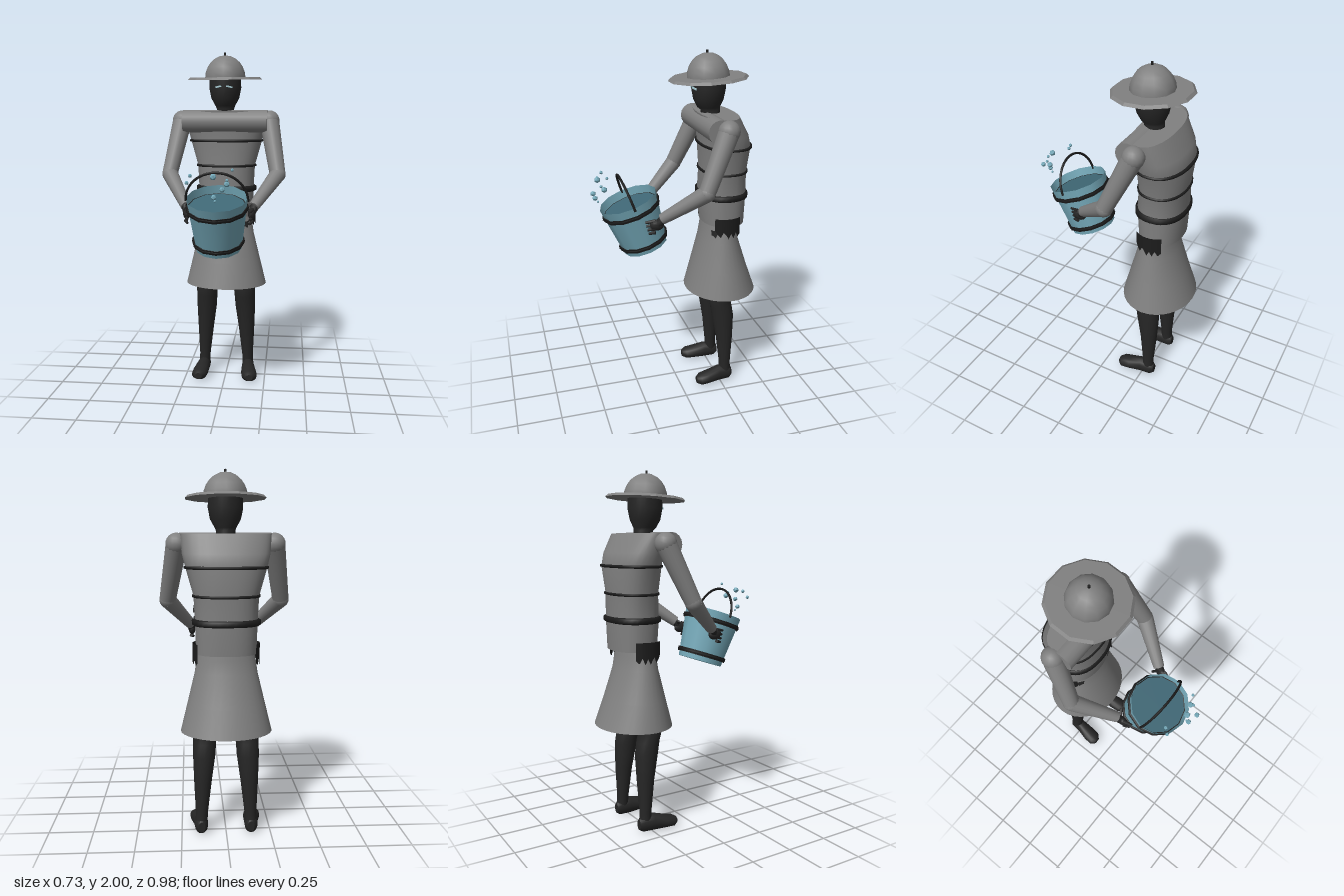
import * as THREE from 'three';

const mat = (name, color, side = THREE.FrontSide) => {
  const m = new THREE.MeshStandardMaterial({ color, side });
  m.name = name;
  return m;
};

// Stacked elliptical sections [y, centreX, centreZ, radiusX, radiusZ], bottom to top
function loft(sections, { sides = 24, power = 2, caps = true } = {}) {
  const pos = [], idx = [];
  const round = v => Math.sign(v) * Math.abs(v) ** (2 / power);
  const ring = ([y, cx, cz, rx, rz]) => {
    const start = pos.length / 3;
    for (let i = 0; i < sides; i++) {
      const a = i / sides * Math.PI * 2;
      pos.push(cx + rx * round(Math.cos(a)), y, cz + rz * round(Math.sin(a)));
    }
    return start;
  };
  const starts = sections.map(ring);
  for (let k = 0; k < starts.length - 1; k++) {
    for (let i = 0; i < sides; i++) {
      const j = (i + 1) % sides;
      const a = starts[k] + i, b = starts[k] + j, c = starts[k + 1] + i, d = starts[k + 1] + j;
      idx.push(a, c, b, b, c, d);
    }
  }
  if (caps) for (const top of [false, true]) {
    const s = top ? sections[sections.length - 1] : sections[0];
    const r = ring(s), mid = pos.length / 3;
    pos.push(s[1], s[0], s[2]);
    for (let i = 0; i < sides; i++) {
      const j = (i + 1) % sides;
      idx.push(mid, r + (top ? j : i), r + (top ? i : j));
    }
  }
  const g = new THREE.BufferGeometry();
  g.setAttribute('position', new THREE.Float32BufferAttribute(pos, 3));
  g.setIndex(idx);
  g.computeVertexNormals();
  return g;
}

export function createModel() {
  const model = new THREE.Group();
  const cloth = mat('grey cloth', 0x808080);
  const skirtCloth = mat('grey skirt cloth', 0x808080, THREE.DoubleSide);
  const skin = mat('dark skin', 0x262626);
  const strap = mat('black strap', 0x1c1c1c, THREE.DoubleSide);
  const pail = mat('blue pail', 0x74a8b8, THREE.DoubleSide);
  const water = mat('deep water', 0x3f6775);
  const pale = mat('pale eye', 0xa8ccd4);

  const add = (name, geometry, material, parent = model) => {
    const m = new THREE.Mesh(geometry, material);
    m.name = name;
    parent.add(m);
    return m;
  };
  const ball = (name, p, r, material, sides = 16) => {
    const m = add(name, new THREE.SphereGeometry(r, sides, Math.ceil(sides * 0.7)), material);
    m.position.set(...p);
    return m;
  };
  // Tapered rod from point p to point q
  const rod = (name, p, q, r0, r1, material, sides = 16) => {
    const a = new THREE.Vector3(...p), b = new THREE.Vector3(...q), d = b.clone().sub(a);
    const m = add(name, new THREE.CylinderGeometry(r1, r0, d.length(), sides), material);
    m.position.copy(a).add(b).multiplyScalar(0.5);
    m.quaternion.setFromUnitVectors(new THREE.Vector3(0, 1, 0), d.normalize());
    return m;
  };

  // Hat, tipped slightly forward
  const hat = new THREE.Group();
  hat.name = 'hat';
  hat.position.set(0, 1.855, -0.19);
  hat.rotation.x = 0.06;
  model.add(hat);
  const brimShape = new THREE.CylinderGeometry(0.208, 0.222, 0.014, 12).toNonIndexed();
  brimShape.computeVertexNormals();
  add('hatBrim', brimShape, cloth, hat).rotation.y = Math.PI / 12;
  const dome = add('hatDome', new THREE.SphereGeometry(0.12, 12, 6, 0, Math.PI * 2, 0, Math.PI / 2), cloth, hat);
  dome.scale.y = 1.1;
  const knob = add('hatKnob', new THREE.CylinderGeometry(0.007, 0.007, 0.025, 6), strap, hat);
  knob.position.y = 0.134;

  // Head, neck and eyes
  add('head', loft([
    [1.6, 0, -0.21, 0.055, 0.055], [1.68, 0, -0.205, 0.052, 0.054], [1.695, 0, -0.195, 0.058, 0.064],
    [1.74, 0, -0.193, 0.083, 0.085], [1.8, 0, -0.193, 0.095, 0.096], [1.88, 0, -0.193, 0.092, 0.094],
  ]), skin);

  // Torso and shoulder bar
  add('torso', loft([
    [1.03, 0, -0.283, 0.163, 0.122], [1.2, 0, -0.28, 0.168, 0.132], [1.34, 0, -0.282, 0.175, 0.126],
    [1.49, 0, -0.285, 0.217, 0.135], [1.56, 0, -0.272, 0.235, 0.125], [1.665, 0, -0.235, 0.245, 0.1],
  ], { power: 2.3, sides: 32 }), cloth);
  rod('shoulderBar', [-0.25, 1.605, -0.177], [0.25, 1.605, -0.177], 0.066, 0.066, cloth);

  // Straps round the torso
  for (const [y, cz, rx, rz, h] of [
    [1.49, -0.285, 0.225, 0.143, 0.009], [1.34, -0.282, 0.183, 0.134, 0.009], [1.2, -0.28, 0.185, 0.142, 0.018],
  ]) {
    add('torsoStrap', loft([
      [y - h, 0, cz, rx - 0.012, rz - 0.012], [y - h * 0.6, 0, cz, rx, rz],
      [y + h * 0.6, 0, cz, rx, rz], [y + h, 0, cz, rx - 0.012, rz - 0.012],
    ], { power: 2.3, sides: 32 }), strap);
  }

  // Open flared skirt
  add('skirt', loft([
    [0.6, 0, -0.28, 0.25, 0.21], [0.75, 0, -0.272, 0.213, 0.163], [0.92, 0, -0.265, 0.172, 0.113],
    [1.0, 0, -0.265, 0.16, 0.1], [1.07, 0, -0.265, 0.145, 0.09],
  ], { sides: 32, caps: false }), skirtCloth);

  for (const s of [1, -1]) {
    const at = (x, y, z) => [s * x, y, z];

    const eye = add('eye', new THREE.BoxGeometry(0.036, 0.009, 0.006), pale);
    eye.position.set(s * 0.032, 1.803, -0.101);
    eye.rotation.set(0, s * 0.34, -s * 0.2);

    // Leg and foot
    add('leg', loft([
      [0.05, s * 0.14, -0.285, 0.034, 0.036], [0.12, s * 0.137, -0.282, 0.034, 0.034],
      [0.3, s * 0.13, -0.277, 0.049, 0.05], [0.45, s * 0.122, -0.265, 0.062, 0.066],
      [0.52, s * 0.119, -0.253, 0.064, 0.066], [0.59, s * 0.117, -0.235, 0.067, 0.067],
      [1.0, s * 0.085, -0.26, 0.07, 0.075],
    ], { sides: 16 }), skin);
    add('foot', loft([
      [-0.325, s * 0.138, -0.045, 0.02, 0.03], [-0.305, s * 0.14, -0.048, 0.036, 0.046],
      [-0.24, s * 0.143, -0.05, 0.04, 0.05], [-0.17, s * 0.152, -0.04, 0.048, 0.038],
      [-0.12, s * 0.157, -0.035, 0.046, 0.033], [-0.095, s * 0.158, -0.033, 0.022, 0.02],
    ], { sides: 16 }).rotateX(Math.PI / 2), skin);

    // Bent arm
    const shoulder = at(0.262, 1.61, -0.22), elbow = at(0.318, 1.3, -0.083), wrist = at(0.19, 1.135, 0.125);
    ball('shoulder', shoulder, 0.06, cloth);
    rod('upperArm', shoulder, elbow, 0.058, 0.046, cloth);
    ball('elbow', elbow, 0.047, cloth);
    rod('forearm', elbow, wrist, 0.047, 0.031, cloth);

    // Hand gripping the pail
    const palm = ball('palm', at(0.182, 1.1, 0.155), 0.03, skin, 10);
    palm.scale.set(0.7, 1.1, 1.4);
    rod('wrist', at(0.196, 1.143, 0.112), at(0.182, 1.105, 0.15), 0.026, 0.022, skin, 8);
    for (let f = 0; f < 4; f++) {
      const y = 1.125 - f * 0.022;
      rod('finger', at(0.187, y, 0.165), at(0.172, y - 0.01, 0.218 - f * 0.006), 0.011, 0.007, skin, 6);
    }
    rod('thumb', at(0.18, 1.12, 0.14), at(0.14, 1.145, 0.115), 0.011, 0.007, skin, 6);

    // Ragged patch wrapped round the hip
    const patch = new THREE.PlaneGeometry(0.15, 0.1, 10, 3);
    const p = patch.attributes.position;
    for (let i = 0; i < p.count; i++) {
      const u = p.getX(i), col = i % 11, row = Math.floor(i / 11);
      const jag = row === 3 ? [0, -0.015, 0.015, -0.02, 0.01, -0.02, 0.005, 0.02, -0.01, 0.005, 0.03][col] : 0;
      const x = 0.182 * Math.sqrt(1 - (u / 0.145) ** 2);
      p.setXYZ(i, s * x, 1.035 + p.getY(i) + jag, -0.268 + u);
    }
    patch.computeVertexNormals();
    add('hipPatch', patch, strap);
  }

  // Tilted pail with water, hoops and handle
  const bucket = new THREE.Group();
  bucket.name = 'bucket';
  bucket.position.set(0, 0.915, 0.177);
  bucket.rotation.x = 0.334;
  model.add(bucket);
  const wall = new THREE.CylinderGeometry(0.168, 0.131, 0.302, 12, 1, true);
  add('bucketWall', wall, pail, bucket).position.y = 0.151;
  const base = add('bucketBase', new THREE.CylinderGeometry(0.131, 0.131, 0.006, 12), pail, bucket);
  base.position.y = 0.003;
  const surface = add('waterSurface', new THREE.CylinderGeometry(0.16, 0.16, 0.004, 12), water, bucket);
  surface.position.y = 0.252;
  for (const [y, r] of [[0.245, 0.163], [0.04, 0.138]]) {
    const hoop = add('bucketHoop', new THREE.CylinderGeometry(r + 0.009, r + 0.006, 0.026, 12, 1, true), strap, bucket);
    hoop.position.y = y;
    const fill = add('hoopEdge', new THREE.TorusGeometry(r, 0.011, 6, 12), strap, bucket);
    fill.rotation.set(Math.PI / 2, 0, Math.PI / 2);
    fill.position.y = y;
  }
  const arc = [];
  for (let i = 0; i <= 12; i++) {
    const a = i / 12 * Math.PI;
    arc.push(new THREE.Vector3(0.17 * Math.cos(a), 0.285 + 0.165 * Math.sin(a), 0));
  }
  add('bucketHandle', new THREE.TubeGeometry(new THREE.CatmullRomCurve3(arc), 24, 0.007, 6), strap, bucket);

  // Splashing drops
  for (const [x, y, z, r] of [
    [0, 1.328, 0.443, 0.018], [0.005, 1.225, 0.46, 0.015], [0.05, 1.268, 0.477, 0.015],
    [0.068, 1.29, 0.418, 0.017], [0.07, 1.31, 0.435, 0.009], [-0.125, 1.33, 0.398, 0.011],
    [-0.14, 1.295, 0.42, 0.011], [0.095, 1.362, 0.406, 0.009], [0.01, 1.205, 0.445, 0.007],
  ]) {
    add('waterDrop', new THREE.IcosahedronGeometry(r, 0), pail).position.set(x, y, z);
  }
  return model;
}
